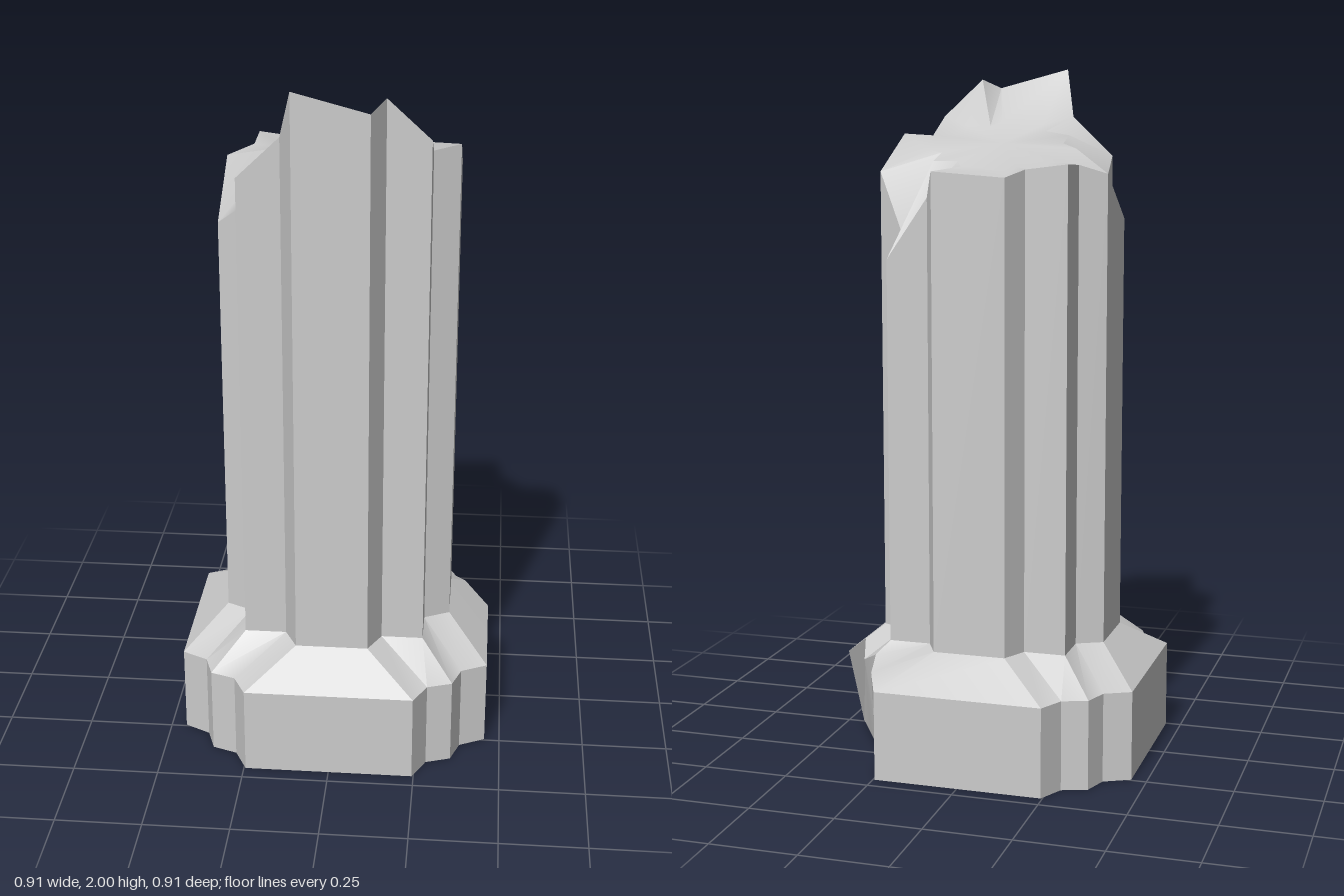
import * as THREE from 'three';
import { toCreasedNormals } from 'three/addons/utils/BufferGeometryUtils.js';

// Skin a stack of closed rings (arrays of [x, y, z]) with outward faces
function loft(name, rings, crease) {
  const pos = [];
  const same = (p, q) => p.every((v, k) => Math.abs(v - q[k]) < 1e-6);
  const tri = (a, b, c) => {
    if (!same(a, b) && !same(b, c) && !same(a, c)) pos.push(...a, ...b, ...c);
  };
  for (let r = 0; r < rings.length - 1; r++) {
    const lo = rings[r], hi = rings[r + 1], n = lo.length;
    for (let i = 0; i < n; i++) {
      const j = (i + 1) % n;
      tri(lo[i], hi[i], lo[j]);
      tri(lo[j], hi[i], hi[j]);
    }
  }
  const g = new THREE.BufferGeometry();
  g.setAttribute('position', new THREE.Float32BufferAttribute(pos, 3));
  const mesh = new THREE.Mesh(
    toCreasedNormals(g, crease),
    new THREE.MeshStandardMaterial({ color: 0xcccccc, side: THREE.DoubleSide })
  );
  mesh.name = name;
  return mesh;
}

// Repeat a quarter outline of [x, z] points by quarter turns
function fourfold(quarter) {
  const out = [];
  for (let q = 0, pts = quarter; q < 4; q++) {
    out.push(...pts);
    pts = pts.map(([x, z]) => [-z, x]);
  }
  return out;
}

export function createModel() {
  const shaft = fourfold([[0.337, 0.105], [0.263, 0.142], [0.263, 0.263], [0.142, 0.263], [0.105, 0.337]]);
  const foot = fourfold([[0.455, 0.245], [0.38, 0.283], [0.355, 0.355], [0.283, 0.38], [0.245, 0.455]]);
  shaft.push(shaft[19]); // spare point matching the extra one in the chipped corner

  // Base: stepped block with a sloped shoulder, its back corner at +x chipped away
  const intact = foot.slice(0, 15);
  const bottom = [
    ...intact.map(([x, z]) => [x, 0, z]),
    [0.245, 0, -0.455], [0.27, 0, -0.37], [0.29, 0, -0.29], [0.32, 0, -0.22], [0.39, 0, -0.1], [0.455, 0, 0.01],
  ];
  const shoulder = [
    ...intact.map(([x, z]) => [x, 0.26, z]),
    [0.245, 0.26, -0.455], [0.28, 0.29, -0.38], [0.295, 0.32, -0.3],
    [0.35, 0.285, -0.25], [0.38, 0.32, -0.16], [0.455, 0.26, -0.11],
  ];
  const neck = shaft.map(([x, z]) => [x, 0.355, z]);
  const underside = bottom.map(() => [0, 0, 0]);

  // Shaft: notched column up to a jagged rim
  const heights = [
    1.81, 1.8, 1.86, 1.97, 1.945,
    2.0, 1.86, 1.745, 1.63, 1.57,
    1.705, 1.73, 1.735, 1.72, 1.7,
    1.715, 1.64, 1.465, 1.54, 1.705, 1.705,
  ];
  const rim = shaft.map(([x, z], i) => [x, heights[i], z]);

  // Broken top: rough slope falling toward the back
  const inner = shaft.map(([x, z]) => [x * 0.6, 1.785 + 0.3 * z * 0.6 + 0.1 * Math.min(x, 0), z * 0.6]);
  const middle = shaft.map(() => [0, 1.785, 0]);

  const model = new THREE.Group();
  model.name = 'brokenColumn';
  model.add(
    loft('base', [underside, bottom, shoulder, neck], 0.5),
    loft('shaft', [neck, rim], 0.3),
    loft('brokenTop', [rim, inner, middle], 0.9)
  );
  return model;
}
